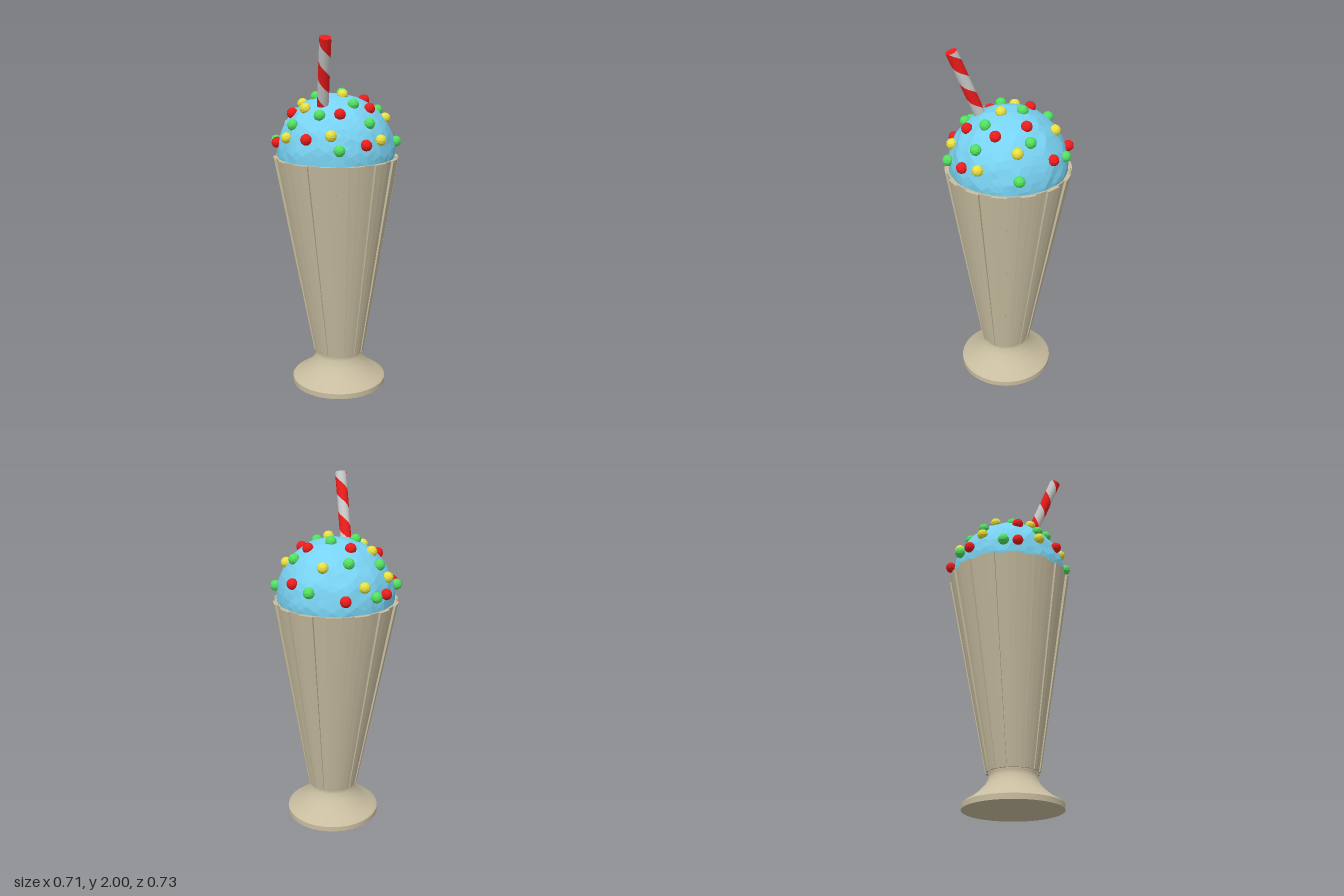
import * as THREE from 'three';

const material = (color, extra = {}) => new THREE.MeshStandardMaterial({ color, ...extra });

function addMesh(parent, name, geometry, mat) {
  const mesh = new THREE.Mesh(geometry, mat);
  mesh.name = name;
  parent.add(mesh);
  return mesh;
}

// Move every vertex by a rule
function warp(geometry, rule) {
  const p = geometry.attributes.position;
  const v = new THREE.Vector3();
  for (let i = 0; i < p.count; i++) {
    v.fromBufferAttribute(p, i);
    rule(v);
    p.setXYZ(i, v.x, v.y, v.z);
  }
  geometry.computeVertexNormals();
  return geometry;
}

// Tapered cup wall with raised ribs
function cupGeometry(bottom, top) {
  const ribs = 14, pitch = Math.PI * 2 / ribs, start = -0.21;
  const points = [];
  const polar = (r, a) => points.push(new THREE.Vector2(r * Math.sin(a), r * Math.cos(a)));
  for (let i = 0; i < ribs; i++) {
    const a = start + i * pitch;
    for (const k of [-0.27, 0, 0.27]) polar(0.347, a + k * pitch);
    for (const k of [0.27, 0.5, 0.73]) polar(0.333, a + k * pitch);
  }
  const shape = new THREE.Shape(points);
  shape.holes.push(new THREE.Path().absarc(0, 0, 0.32, 0, Math.PI * 2, true));
  const geometry = new THREE.ExtrudeGeometry(shape, { depth: top - bottom, bevelEnabled: false, curveSegments: 28 });
  geometry.rotateX(-Math.PI / 2);
  return warp(geometry, (v) => {
    const t = v.y / (top - bottom);
    const s = THREE.MathUtils.lerp(0.42, 1, t);
    v.set(v.x * s + 0.015 * (1 - t), v.y + bottom, v.z * s + 0.022 * (1 - t));
  });
}

// One colour of the spiral on the straw: bands that climb one pitch per turn
function spiralGeometry(radius, length, pitch, from, to) {
  const pos = [], index = [], n = 24;
  for (let k = -1; k * pitch < length + pitch; k++) {
    const base = pos.length / 3;
    for (let i = 0; i <= n; i++) {
      const a = i / n * Math.PI * 2;
      for (const edge of [from, to]) {
        const s = THREE.MathUtils.clamp((k + i / n) * pitch + edge, 0, length);
        pos.push(radius * Math.sin(a), -s, radius * Math.cos(a));
      }
      if (i < n) {
        const b = base + i * 2;
        index.push(b, b + 1, b + 2, b + 1, b + 3, b + 2);
      }
    }
  }
  const geometry = new THREE.BufferGeometry();
  geometry.setAttribute('position', new THREE.Float32BufferAttribute(pos, 3));
  geometry.setIndex(index);
  geometry.computeVertexNormals();
  return geometry;
}

export function createModel() {
  const group = new THREE.Group();
  const beige = material(0xc8bda0, { side: THREE.DoubleSide });

  // Pedestal foot and stem
  const profile = [[0, 0], [0.27, 0], [0.27, 0.03], [0.255, 0.042], [0.22, 0.062], [0.18, 0.095],
    [0.148, 0.13], [0.13, 0.165], [0.127, 0.19], [0.137, 0.205], [0, 0.205]];
  const lathePoints = [];
  profile.forEach(([r, y], i) => {
    lathePoints.push(new THREE.Vector2(r, y));
    // doubled points keep the foot's edges crisp
    if (i === 1 || i === 2) lathePoints.push(new THREE.Vector2(r, y + 0.0005));
  });
  addMesh(group, 'pedestal', new THREE.LatheGeometry(lathePoints, 48), beige).position.set(0.015, 0, 0.022);

  addMesh(group, 'ribbedCup', cupGeometry(0.195, 1.335), beige);

  // Lumpy faceted scoop
  const scoop = warp(new THREE.IcosahedronGeometry(0.325, 7), (v) => {
    const n = Math.sin(v.x * 31 + v.y * 17) * Math.sin(v.z * 37 - v.x * 11) + 0.6 * Math.sin(v.y * 71 + v.z * 53 + v.x * 61);
    v.multiplyScalar(1 + 0.011 * n);
  });
  addMesh(group, 'iceCream', scoop, material(0x78d2f2, { flatShading: true })).position.y = 1.355;

  // Candies pressed onto the dome, listed as x, z
  const candies = {
    red: [0xee1c1c, [[0.02, -0.34], [-0.22, -0.245], [-0.05, -0.14], [0.265, -0.155], [0.16, -0.045], [-0.325, 0.015],
      [-0.24, 0.025], [0.165, 0.125], [-0.005, 0.225], [-0.185, 0.25], [0.125, 0.295]]],
    green: [0x52e060, [[-0.155, -0.295], [0.195, -0.25], [-0.02, -0.23], [-0.2, -0.165], [-0.325, -0.065], [0.04, -0.065],
      [0.235, -0.04], [-0.11, 0.005], [0.325, 0.05], [-0.245, 0.135], [0.075, 0.15], [0.15, 0.225], [-0.02, 0.33], [-0.11, 0.205]]],
    yellow: [0xe8e040, [[-0.09, -0.295], [0.115, -0.22], [-0.245, -0.175], [-0.175, -0.095], [0.03, 0.05], [0.265, 0.04],
      [-0.175, 0.105], [-0.28, 0.14], [0.21, 0.235], [-0.06, 0.295]]],
  };
  const candyGeometry = new THREE.IcosahedronGeometry(0.031, 1);
  for (const [name, [color, places]] of Object.entries(candies)) {
    const mat = material(color, { flatShading: true });
    places.forEach(([x, z], i) => {
      const y = Math.max(0.07, Math.sqrt(Math.max(0, 0.333 ** 2 - x * x - z * z)));
      const candy = addMesh(group, name + 'Candy', candyGeometry, mat);
      candy.position.set(x, 1.35 + y, z);
      candy.rotation.set(i * 1.3, i * 2.1, i * 0.7);
    });
  }

  // Leaning striped straw, hung from its top end
  const straw = new THREE.Group();
  straw.name = 'straw';
  straw.position.set(-0.085, 1.988, 0.273);
  straw.rotation.x = 0.38;
  const red = material(0xee1c1c, { side: THREE.DoubleSide });
  const radius = 0.031, length = 0.5, pitch = 0.2;
  addMesh(straw, 'strawRedStripe', spiralGeometry(radius, length, pitch, -0.03, 0.07), red);
  addMesh(straw, 'strawPaleStripe', spiralGeometry(radius, length, pitch, 0.07, 0.17), material(0xcccccc, { side: THREE.DoubleSide }));
  addMesh(straw, 'strawTop', new THREE.CircleGeometry(radius, 24), red).rotation.x = -Math.PI / 2;
  group.add(straw);

  return group;
}
